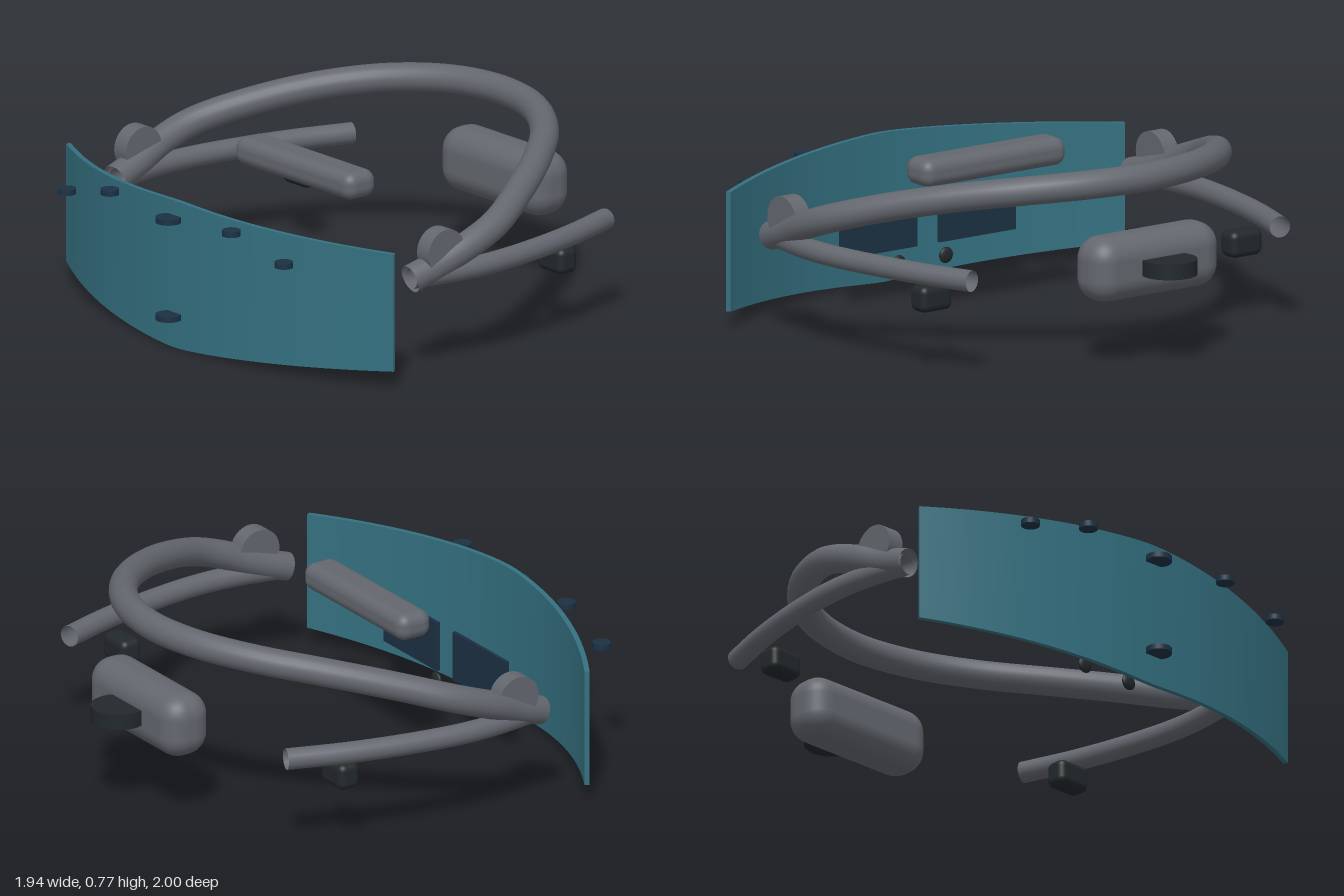
import * as THREE from 'three';
import { toCreasedNormals } from 'three/addons/utils/BufferGeometryUtils.js';
import { RoundedBoxGeometry } from 'three/addons/geometries/RoundedBoxGeometry.js';

const frameGrey = new THREE.MeshStandardMaterial({ color: 0x63676e, side: THREE.DoubleSide });
const black = new THREE.MeshStandardMaterial({ color: 0x22282b });
const navy = new THREE.MeshStandardMaterial({ color: 0x1c3144 });
const teal = new THREE.MeshStandardMaterial({ color: 0x347080 });

export function createModel() {
  const model = new THREE.Group();

  function add(name, geometry, material, x = 0, y = 0, z = 0) {
    const mesh = new THREE.Mesh(geometry, material);
    mesh.name = name;
    mesh.position.set(x, y, z);
    model.add(mesh);
    return mesh;
  }
  const roundedBox = (w, h, d, r) => new RoundedBoxGeometry(w, h, d, 5, r);
  const disc = (r, h) => new THREE.CylinderGeometry(r, r, h, 32);
  const tube = (points, r, segments) => new THREE.TubeGeometry(
    new THREE.CatmullRomCurve3(points.map(p => new THREE.Vector3(...p))), segments, r, 20);

  // Curved visor: a thin slab bent along a parabola, tapering towards its ends
  function visorGeometry() {
    const g = new THREE.BoxGeometry(2, 1, 0.02, 48, 1, 1);
    const p = g.attributes.position;
    for (let i = 0; i < p.count; i++) {
      const u = p.getX(i), t = p.getZ(i);
      const taper = Math.sqrt(u * u + 0.004) - 0.06;
      const slope = 0.577 * u;
      const n = Math.hypot(1, slope);
      const y = p.getY(i) > 0 ? 0.59 - 0.052 * taper : 0.075 * taper;
      p.setXYZ(i, 0.965 * u + t * slope / n, y, 0.905 - 0.278 * u * u + t / n);
    }
    return toCreasedNormals(g, 0.6);
  }
  add('visor', visorGeometry(), teal);

  // Head band rising from the hinges and wrapping round the back of the head
  const halfBand = [
    [0.875, 0.388, 0.47], [0.89, 0.425, 0.35], [0.91, 0.485, 0.2], [0.895, 0.535, 0.06],
    [0.79, 0.6, -0.15], [0.64, 0.655, -0.37], [0.46, 0.69, -0.56], [0.24, 0.708, -0.69],
  ];
  const mirrored = halfBand.map(([x, y, z]) => [-x, y, z]).reverse();
  add('headBand', tube([...halfBand, [0, 0.712, -0.735], ...mirrored], 0.056, 120), frameGrey);

  // Pads
  add('foreheadPad', roundedBox(0.695, 0.11, 0.15, 0.045), frameGrey, 0, 0.597, 0.255);
  add('rearPad', roundedBox(0.61, 0.255, 0.205, 0.09), frameGrey, 0, 0.387, -0.752);
  add('adjustmentKnob', disc(0.108, 0.062), black, 0, 0.39, -0.892);

  // Paired parts
  for (const [side, s] of [['left', 1], ['right', -1]]) {
    const arm = [
      [0.87, 0.388, 0.46], [0.905, 0.388, 0.25], [0.91, 0.388, 0.08],
      [0.88, 0.388, -0.15], [0.825, 0.388, -0.39], [0.75, 0.388, -0.62],
    ].map(([x, y, z]) => [s * x, y, z]);
    add(side + 'TempleArm', tube(arm, 0.042, 48), frameGrey);

    const hinge = add(side + 'HingeDisc', disc(0.09, 0.07), frameGrey, s * 0.897, 0.483, 0.335);
    hinge.rotation.z = Math.PI / 2;

    add(side + 'EarSpeaker', roundedBox(0.15, 0.105, 0.092, 0.028), black, s * 0.755, 0.283, -0.373);
    add(side + 'DisplayPanel', new THREE.BoxGeometry(0.37, 0.2, 0.014), navy, s * 0.24, 0.3, 0.62);

    const eye = add(side + 'EyeSensor', new THREE.SphereGeometry(0.032, 20, 14), black, s * 0.115, 0.135, 0.652);
    eye.scale.z = 0.42;

    add(side + 'OuterSensor', disc(0.036, 0.022), navy, s * 0.643, 0.48, 0.91);
    add(side + 'InnerSensor', disc(0.036, 0.022), navy, s * 0.36, 0.547, 0.934);
  }

  // Centre sensors above and below
  add('upperCentreSensor', disc(0.05, 0.022), navy, 0, 0.52, 0.945);
  add('lowerCentreSensor', disc(0.05, 0.022), navy, 0, 0.13, 0.945);

  return model;
}
